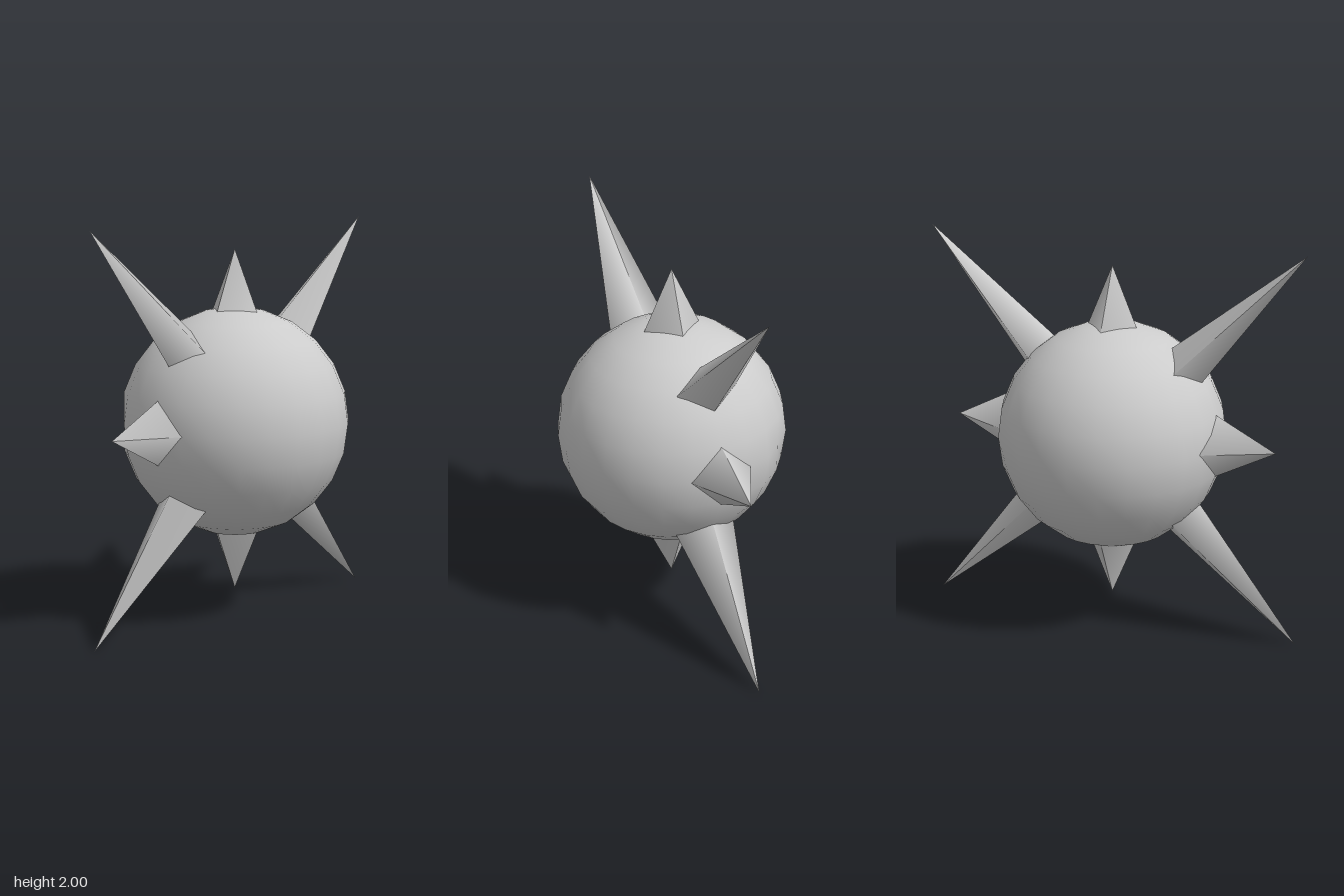
import * as THREE from 'three';

const CENTER_Y = 1;
const RADIUS = 0.58;
const ROOT = 0.4; // depth at which spikes start inside the ball

const material = new THREE.MeshStandardMaterial({ color: 0xcccccc });

// Ball with 15 degree facets; every other vertex of the rear equator lies on a chord
function makeBall() {
  const geo = new THREE.SphereGeometry(RADIUS, 24, 12);
  const pos = geo.attributes.position;
  for (let i = 0; i < pos.count; i++) {
    const x = pos.getX(i), y = pos.getY(i), z = pos.getZ(i);
    if (Math.abs(y) > 0.01 || z > -0.01) continue;
    const column = Math.round(Math.atan2(z, x) / (Math.PI / 12));
    if (column % 2 !== 0) {
      const k = Math.cos(Math.PI / 12);
      pos.setXYZ(i, x * k, y, z * k);
    }
  }
  const ball = new THREE.Mesh(geo, material);
  ball.name = 'ball';
  return ball;
}

// Four-sided spike pointing along +y, tip at distance `tip` from the ball centre
function spikeGeometry(tip, width, depth, start = 0, sweep = Math.PI * 2) {
  const h = tip - ROOT;
  const sides = Math.round(sweep / (Math.PI / 2));
  const geo = new THREE.CylinderGeometry(0, 1, h, sides, 1, true, start, sweep);
  geo.scale(width, 1, depth);
  geo.translate(0, ROOT + h / 2, 0);
  return geo;
}

export function createModel() {
  const model = new THREE.Group();
  model.name = 'spikedBall';
  const body = new THREE.Group();
  body.name = 'body';
  body.position.y = CENTER_Y;
  model.add(body);
  body.add(makeBall());

  const addSpike = (name, geo, angle) => {
    const spike = new THREE.Mesh(geo, material);
    spike.name = name;
    spike.rotation.z = angle;
    body.add(spike);
  };

  // Long diagonal spikes
  const longGeo = spikeGeometry(Math.SQRT2, 0.135, 0.188);
  ['upperRight', 'lowerRight', 'lowerLeft', 'upperLeft'].forEach((side, i) =>
    addSpike(side + 'LongSpike', longGeo, Math.PI / 4 + (i * Math.PI) / 2));

  // Short side spikes
  const sideGeo = spikeGeometry(0.87, 0.24, 0.24);
  addSpike('leftSpike', sideGeo, -Math.PI / 2);
  addSpike('rightSpike', sideGeo, Math.PI / 2);

  // Short top and bottom spikes, creased between front and back halves
  for (const [half, start] of [['Front', -Math.PI / 2], ['Back', Math.PI / 2]]) {
    const geo = spikeGeometry(0.87, 0.2, 0.227, start, Math.PI);
    geo.computeVertexNormals();
    addSpike('topSpike' + half, geo, 0);
    addSpike('bottomSpike' + half, geo, Math.PI);
  }
  return model;
}
